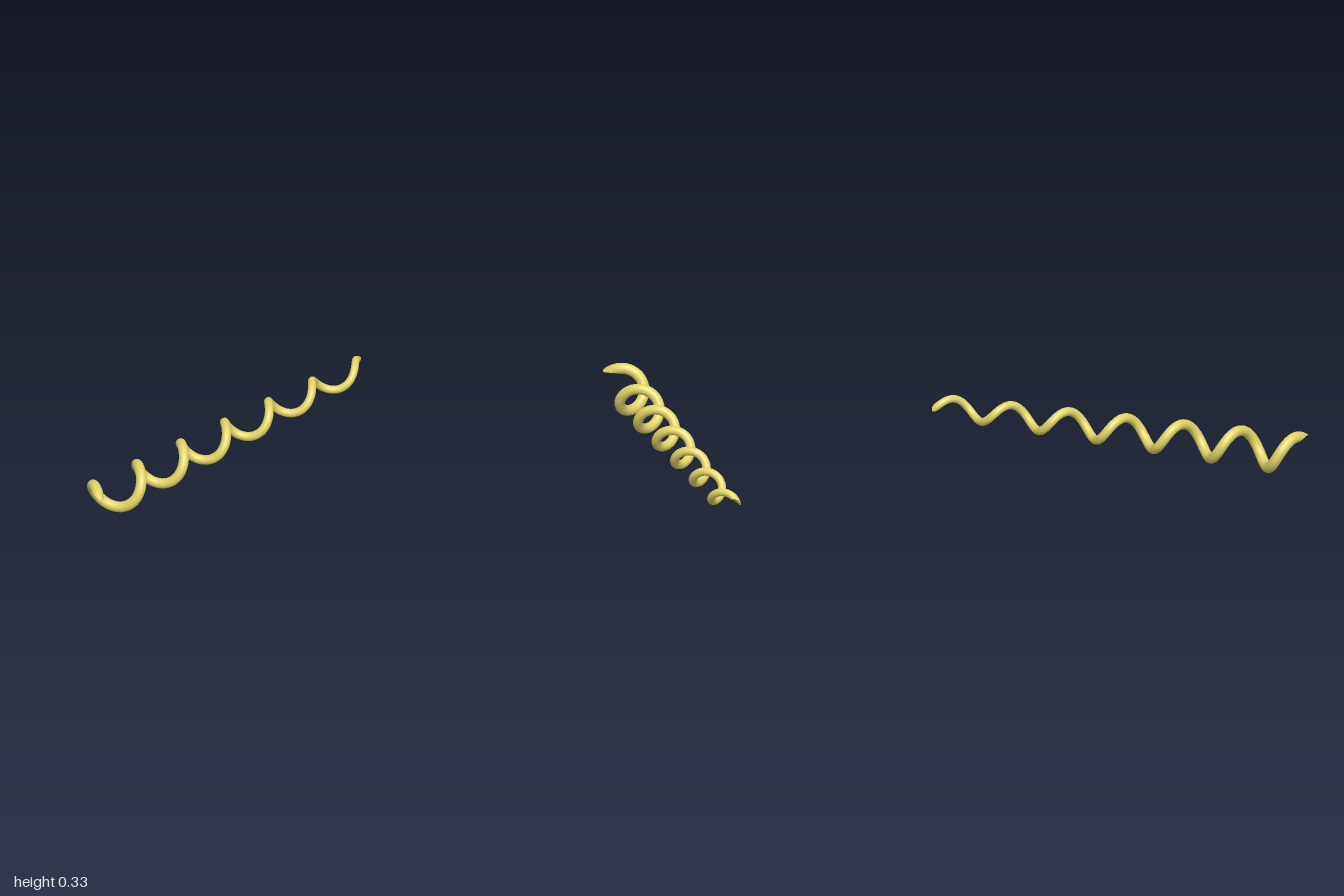
import * as THREE from 'three';

const RINGS = 300, SIDES = 20;
const START = -0.5, END = 12 * Math.PI + 1.2; // phase of the two ends, 0 = top of a coil
const SLANT = 0.42;                           // how far the ends are cut obliquely
const UP = new THREE.Vector3(0, 1, 0);
const SIDEWAYS = new THREE.Vector3(-0.804, 0, -0.594);

// Radial direction of the coil at a phase
const radial = (p) => UP.clone().multiplyScalar(Math.cos(p)).addScaledVector(SIDEWAYS, Math.sin(p));

// Centre line: a tapering helix around a gently rising diagonal axis
function centre(p) {
  const k = (p - Math.PI) / (2 * Math.PI);
  return new THREE.Vector3(-0.525 + 0.2176 * k, 0.139 + 0.0194 * k, 0.745 - 0.294 * k)
    .addScaledVector(radial(p), 0.105 - 0.0088 * k);
}

// Point on the strand's skin at a phase and an angle around the strand
function skin(p, a) {
  const k = (p - Math.PI) / (2 * Math.PI);
  const c = centre(p);
  const t = centre(p + 0.01).sub(centre(p - 0.01)).normalize();
  const e = radial(p);
  e.addScaledVector(t, -e.dot(t)).normalize();
  const b = t.clone().cross(e);
  const rad = 0.034 - 0.0018 * k;
  return c.addScaledVector(e, Math.cos(a) * rad).addScaledVector(b, Math.sin(a) * rad);
}

function geometry(points, index) {
  const g = new THREE.BufferGeometry().setFromPoints(points);
  g.setIndex(index);
  g.computeVertexNormals();
  return g;
}

export function createModel() {
  const group = new THREE.Group();
  group.name = 'spiralCoil';
  const material = new THREE.MeshStandardMaterial({ color: 0xe0d468 });
  const add = (name, geo) => {
    const mesh = new THREE.Mesh(geo, material);
    mesh.name = name;
    group.add(mesh);
  };

  // Coiled strand: the outer side reaches further at both ends than the inner side
  const points = [], index = [];
  for (let i = 0; i <= RINGS; i++) {
    for (let j = 0; j < SIDES; j++) {
      const a = (j / SIDES) * Math.PI * 2;
      const cut = SLANT * Math.cos(a);
      points.push(skin(THREE.MathUtils.lerp(START - cut, END + cut, i / RINGS), a));
      if (i === RINGS) continue;
      const n = (j + 1) % SIDES, r = i * SIDES, s = r + SIDES;
      index.push(r + j, r + n, s + j, r + n, s + n, s + j);
    }
  }
  add('coiledStrand', geometry(points, index));

  // Slanted end caps
  const cap = (name, ring, flip) => {
    const mid = new THREE.Vector3();
    ring.forEach((p) => mid.addScaledVector(p, 1 / SIDES));
    const faces = [];
    for (let j = 0; j < SIDES; j++) {
      const n = (j + 1) % SIDES;
      faces.push(SIDES, flip ? n : j, flip ? j : n);
    }
    add(name, geometry([...ring, mid], faces));
  };
  cap('frontEnd', points.slice(0, SIDES), true);
  cap('backEnd', points.slice(-SIDES), false);

  return group;
}
